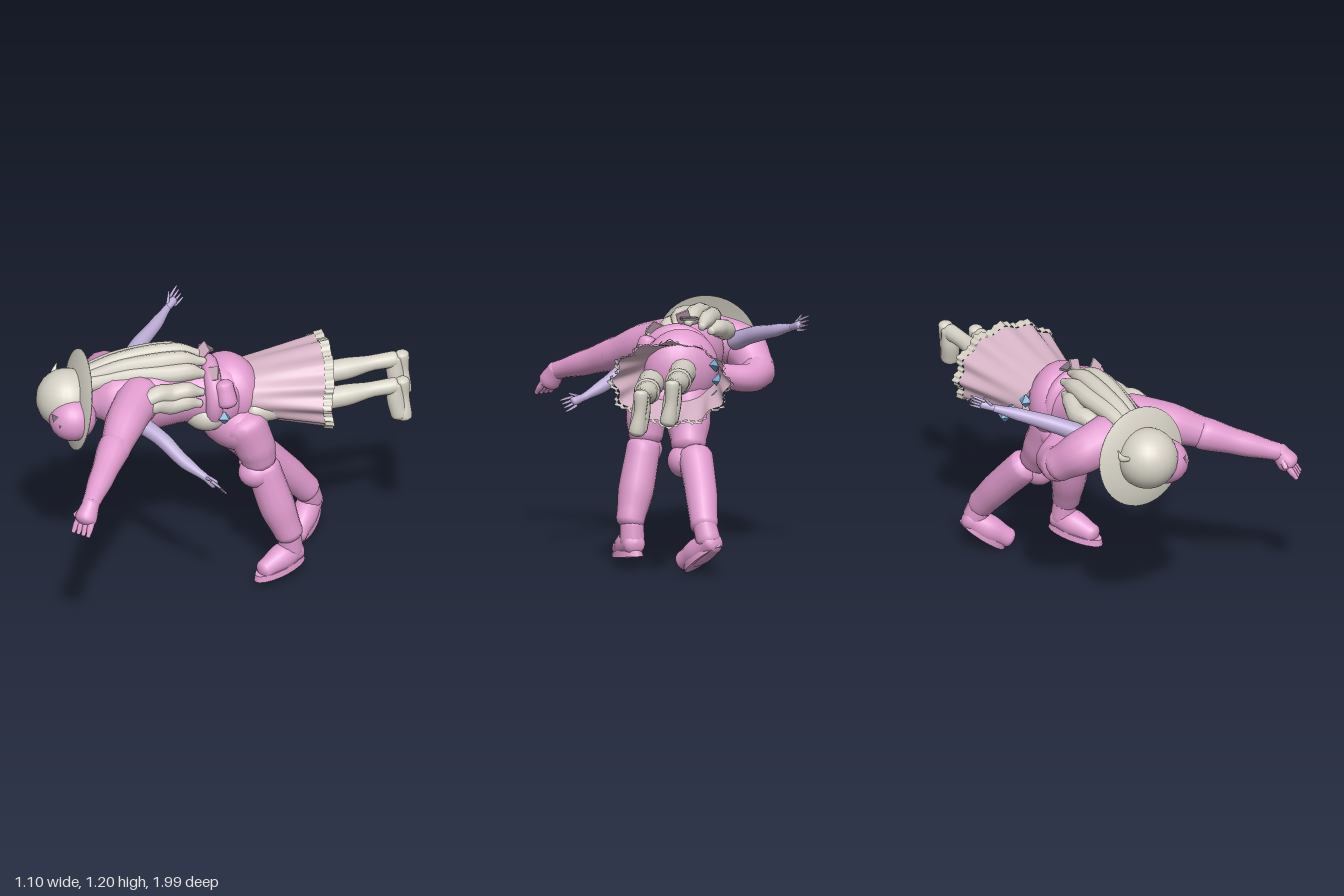
import * as THREE from 'three';

const mat = (name, color, side = THREE.FrontSide) => {
  const m = new THREE.MeshStandardMaterial({ color, side });
  m.name = name;
  return m;
};

export function createModel() {
  const pink = mat('pink', 0xdf9bcd), cream = mat('cream', 0xd4d0c4, THREE.DoubleSide);
  const lavender = mat('lavender', 0xb8a8d2), rose = mat('rose', 0xd6b4c5, THREE.DoubleSide);
  const green = mat('green', 0x98d2ae, THREE.DoubleSide), blue = mat('blue', 0x6c9fc4);
  const grey = mat('grey', 0x7d747c, THREE.DoubleSide);
  const root = new THREE.Group();
  const V = (p) => new THREE.Vector3(p[0], p[1], p[2]);

  const add = (name, geo, material, pos = [0, 0, 0], parent = root) => {
    const m = new THREE.Mesh(geo, material);
    m.name = name;
    m.position.set(...pos);
    parent.add(m);
    return m;
  };
  const ball = (name, material, pos, s) => {
    const m = add(name, new THREE.SphereGeometry(1, 24, 16), material, pos);
    m.scale.set(...s);
    return m;
  };

  // Rounded limb through points [x, y, z, radius]
  const limb = (name, material, pts, sides = 14) => {
    const curve = new THREE.CatmullRomCurve3(pts.map(V), false, 'centripetal');
    const n = (pts.length - 1) * 5, seg = pts.length - 1;
    const fr = curve.computeFrenetFrames(n, false);
    const lens = [0];
    for (let i = 1; i < pts.length; i++) lens.push(lens[i - 1] + V(pts[i]).distanceTo(V(pts[i - 1])));
    const radius = (u) => {
      const d = u * lens[seg];
      let k = 0;
      while (k < seg - 1 && d > lens[k + 1]) k++;
      const f = THREE.MathUtils.smoothstep(d, lens[k], lens[k + 1]);
      return pts[k][3] + (pts[k + 1][3] - pts[k][3]) * f;
    };
    const rings = [];
    for (let k = 0; k < 4; k++) rings.push([0, Math.sin(k * Math.PI / 8), -Math.cos(k * Math.PI / 8)]);
    for (let i = 0; i <= n; i++) rings.push([i, 1, 0]);
    for (let k = 3; k >= 0; k--) rings.push([n, Math.sin(k * Math.PI / 8), Math.cos(k * Math.PI / 8)]);
    const pos = [], idx = [];
    rings.forEach(([i, s, off], row) => {
      const r = radius(i / n), c = curve.getPointAt(i / n).addScaledVector(fr.tangents[i], off * r * 0.6);
      for (let j = 0; j < sides; j++) {
        const a = j / sides * Math.PI * 2;
        const p = c.clone().addScaledVector(fr.normals[i], Math.cos(a) * r * s)
          .addScaledVector(fr.binormals[i], Math.sin(a) * r * s);
        pos.push(p.x, p.y, p.z);
        if (row < rings.length - 1) {
          const q = row * sides, j2 = (j + 1) % sides;
          idx.push(q + j, q + j2, q + sides + j, q + j2, q + sides + j2, q + sides + j);
        }
      }
    });
    const g = new THREE.BufferGeometry();
    g.setAttribute('position', new THREE.Float32BufferAttribute(pos, 3));
    g.setIndex(idx);
    g.computeVertexNormals();
    return add(name, g, material);
  };

  // Palm with four fingers and a thumb, reaching from wrist along dir
  const hand = (name, material, wrist, dir, across, len, r) => {
    const w = V(wrist), d = V(dir).normalize(), a = V(across).normalize();
    const at = (f, s) => w.clone().addScaledVector(d, f * len).addScaledVector(a, s * len).toArray();
    limb(name + 'Palm', material, [[...at(0, 0), r], [...at(0.5, 0), r * 1.25]]);
    for (let i = 0; i < 4; i++) {
      const s = (i - 1.5) * 0.14;
      limb(name + 'Finger', material, [[...at(0.45, s), r * 0.42], [...at(0.75, s * 1.2), r * 0.38], [...at(1, s * 1.3), r * 0.25]], 7);
    }
    limb(name + 'Thumb', material, [[...at(0.15, 0.1), r * 0.45], [...at(0.5, 0.4), r * 0.3]], 7);
  };

  // Bent torso, hips and belt
  limb('torso', pink, [[0.06, 0.93, -0.13, 0.17], [-0.02, 0.95, 0.02, 0.145], [-0.11, 0.96, 0.2, 0.17],
    [-0.18, 0.96, 0.34, 0.145], [-0.26, 0.94, 0.46, 0.07]], 24);
  ball('hips', pink, [0.05, 0.93, -0.16], [0.185, 0.19, 0.14]);
  const belt = add('belt', new THREE.TorusGeometry(0.14, 0.042, 12, 32), pink, [0.035, 0.95, -0.06]);
  belt.lookAt(-0.43, 0.95, 0.83);
  ball('seat', pink, [0.1, 0.79, -0.14], [0.21, 0.13, 0.13]);
  ball('bodice', cream, [0.06, 0.865, -0.01], [0.12, 0.085, 0.1]);
  limb('sidePouch', pink, [[0.175, 1.05, -0.04, 0.045], [0.2, 0.97, -0.04, 0.05]]);

  // Standing legs
  limb('leftThigh', pink, [[0.2, 0.82, -0.14, 0.11], [0.23, 0.7, -0.18, 0.1], [0.24, 0.62, -0.2, 0.085]]);
  ball('leftKnee', pink, [0.24, 0.555, -0.185], [0.085, 0.075, 0.09]);
  limb('leftShin', pink, [[0.255, 0.57, -0.215, 0.083], [0.305, 0.38, -0.255, 0.087], [0.35, 0.23, -0.295, 0.07]]);
  limb('leftAnkle', pink, [[0.345, 0.22, -0.3, 0.058], [0.345, 0.13, -0.31, 0.06]]);
  limb('leftShoe', pink, [[0.345, 0.125, -0.34, 0.055], [0.345, 0.11, -0.26, 0.066], [0.345, 0.075, -0.15, 0.048]]);
  const leftSole = add('leftSole', new THREE.CylinderGeometry(0.06, 0.064, 0.03, 20), pink, [0.345, 0.062, -0.24]);
  leftSole.rotation.x = 0.14;
  leftSole.scale.z = 2.3;
  limb('rightThigh', pink, [[0.02, 0.82, -0.16, 0.12], [0.035, 0.68, -0.23, 0.107], [0.055, 0.58, -0.29, 0.085]]);
  ball('rightKnee', pink, [0.085, 0.505, -0.3], [0.075, 0.08, 0.085]);
  limb('rightShin', pink, [[0.04, 0.53, -0.35, 0.083], [0.06, 0.38, -0.49, 0.078], [0.085, 0.24, -0.61, 0.068]]);
  limb('rightAnkle', pink, [[0.085, 0.25, -0.61, 0.058], [0.075, 0.17, -0.64, 0.06]]);
  limb('rightShoe', pink, [[0.06, 0.165, -0.66, 0.058], [0.1, 0.11, -0.58, 0.066], [0.15, 0.055, -0.5, 0.048]]);
  const rightSole = add('rightSole', new THREE.CylinderGeometry(0.06, 0.062, 0.03, 20), pink, [0.09, 0.085, -0.6]);
  rightSole.rotation.set(0.6, 0.5, 0, 'YXZ');
  rightSole.scale.z = 2.1;

  // Reaching left arm
  limb('leftUpperArm', pink, [[-0.06, 1.0, 0.28, 0.11], [0.02, 0.97, 0.42, 0.1], [0.14, 0.895, 0.6, 0.075]]);
  limb('leftForearm', pink, [[0.12, 0.905, 0.58, 0.08], [0.22, 0.845, 0.73, 0.062], [0.32, 0.79, 0.88, 0.044]]);
  hand('leftHand', pink, [0.325, 0.795, 0.88], [0.2, -0.7, 0.52], [-0.9, 0, 0.3], 0.155, 0.043);

  // Folded right arm
  limb('rightUpperArm', pink, [[-0.28, 0.99, 0.3, 0.12], [-0.39, 0.96, 0.24, 0.11], [-0.43, 0.86, 0.1, 0.085]]);
  limb('rightForearm', pink, [[-0.43, 0.86, 0.1, 0.085], [-0.36, 0.84, 0.02, 0.07], [-0.22, 0.86, -0.01, 0.06], [-0.1, 0.89, -0.02, 0.05]]);

  // Slim raised arms
  limb('rightSlimArm', lavender, [[-0.33, 1.0, 0.16, 0.045], [-0.38, 1.04, 0.06, 0.04], [-0.44, 1.08, -0.1, 0.032], [-0.49, 1.11, -0.21, 0.019]]);
  hand('rightSlimHand', lavender, [-0.49, 1.11, -0.21], [-0.35, 0.28, -0.9], [-0.3, 0.9, 0.3], 0.125, 0.017);
  limb('leftSlimArm', lavender, [[0.0, 0.92, 0.36, 0.045], [0.16, 0.87, 0.32, 0.038], [0.28, 0.8, 0.29, 0.033], [0.4, 0.75, 0.25, 0.019]]);
  hand('leftSlimHand', lavender, [0.4, 0.75, 0.25], [0.9, -0.27, -0.2], [0.2, 0.7, 0.6], 0.12, 0.018);

  // Hat, face and half collar
  const hat = new THREE.Group();
  hat.name = 'hat';
  hat.position.set(-0.305, 0.945, 0.495);
  hat.quaternion.setFromUnitVectors(new THREE.Vector3(0, 1, 0), V([-0.4, 0.16, 0.9]).normalize());
  root.add(hat);
  const brim = [[0.1, 0.016], [0.17, 0.01], [0.242, -0.014], [0.243, -0.02], [0.17, 0], [0.1, 0.004]];
  add('brim', new THREE.LatheGeometry(brim.map((p) => new THREE.Vector2(...p)), 48), cream, [0, 0, 0], hat);
  add('collar', new THREE.CylinderGeometry(0.185, 0.125, 0.08, 24, 1, true, -1.9, 2.8), green, [0, -0.055, 0], hat);
  ball('crown', cream, [-0.32, 0.955, 0.528], [0.147, 0.147, 0.147]);
  ball('face', pink, [-0.22, 0.905, 0.568], [0.112, 0.108, 0.114]);
  [[-0.22, 0.945, 0.678, 0.026], [-0.178, 0.918, 0.678, 0.012]].forEach(([x, y, z, r]) => {
    add('eye', new THREE.CircleGeometry(r, 3), grey, [x, y, z]).rotation.set(-0.25, 0.2, 0.5);
  });
  limb('hatRibbon', cream, [[-0.45, 1.0, 0.5, 0.012], [-0.48, 1.01, 0.48, 0.016], [-0.485, 1.05, 0.46, 0.004]], 6);

  // Long hair locks over the back, then shorter ones at each side: start, middle, end
  [[-0.32, 1.06, 0.44, -0.2, 1.12, 0.14, -0.09, 1.11, -0.06], [-0.29, 1.07, 0.44, -0.14, 1.145, 0.15, -0.02, 1.13, -0.06],
    [-0.26, 1.06, 0.45, -0.07, 1.135, 0.16, 0.03, 1.12, -0.03], [-0.23, 1.05, 0.45, 0.0, 1.095, 0.13, 0.07, 1.08, 0],
    [-0.29, 1.03, 0.24, -0.27, 1.06, 0.12, -0.15, 1.08, -0.02],
    [0.03, 1.03, 0.31, 0.055, 1.03, 0.19, 0.12, 1.02, 0.05], [0.03, 0.985, 0.32, 0.065, 0.98, 0.2, 0.13, 0.97, 0.07]].forEach((l) => {
    const a = V(l.slice(0, 3)), b = V(l.slice(3, 6)), c = V(l.slice(6));
    const ab = a.clone().lerp(b, 0.5), bc = b.clone().lerp(c, 0.5);
    ab.y += 0.015;
    bc.y += 0.012;
    limb('hairLock', cream, [[...a, 0.04], [...ab, 0.045], [...b, 0.048], [...bc, 0.044], [...c, 0.02]], 10);
  });

  // Pleated skirt with frilled hem; local y runs towards the hem, local z is up
  const skirt = new THREE.Group();
  skirt.name = 'skirt';
  skirt.setRotationFromMatrix(new THREE.Matrix4().makeBasis(V([0.888, 0, 0.459]), V([0.459, 0, -0.888]), V([0, 1, 0])));
  skirt.position.set(0.05, 0.925, -0.2);
  root.add(skirt);
  const len = 0.4;
  const cloth = (name, material, y0, y1, r0, r1, wave) => {
    const g = new THREE.CylinderGeometry(r1, r0, y1 - y0, 192, 6, true).translate(0, (y0 + y1) / 2, 0);
    const p = g.attributes.position;
    for (let i = 0; i < p.count; i++) {
      const a = Math.atan2(p.getZ(i), p.getX(i)), t = p.getY(i) / len;
      const k = 1 + 0.05 * t * Math.cos(a * 12) + wave * Math.cos(a * 48);
      p.setXYZ(i, p.getX(i) * k, p.getY(i) + 0.04 * t * Math.abs(Math.sin(a)), p.getZ(i) * k * 0.71);
    }
    g.computeVertexNormals();
    add(name, g, material, [0, 0, 0], skirt);
  };
  cloth('skirtCloth', rose, 0, len - 0.02, 0.17, 0.272, 0);
  cloth('hemFrill', cream, len - 0.026, len + 0.016, 0.278, 0.286, 0.022);

  // Booted legs trailing from the skirt
  [[0, 0, 0], [0.125, -0.055, 0.095]].forEach(([x, y, z]) => {
    const at = (a, b, c, r) => [a + x, b + y, c + z, r];
    limb('bootLeg', cream, [at(0.08, 0.93, -0.28, 0.065), at(0.19, 0.935, -0.55, 0.055), at(0.25, 0.94, -0.7, 0.054), at(0.31, 0.955, -0.84, 0.038), at(0.35, 0.96, -0.93, 0.04)]);
    limb('kneeBand', cream, [at(0.19, 0.935, -0.56, 0.058), at(0.215, 0.936, -0.61, 0.064)]);
    limb('bootFoot', cream, [at(0.35, 0.965, -0.935, 0.04), at(0.355, 0.89, -0.935, 0.045), at(0.372, 0.81, -0.945, 0.044)]);
    limb('bootSole', cream, [at(0.365, 0.98, -0.965, 0.036), at(0.37, 0.9, -0.968, 0.03), at(0.385, 0.8, -0.96, 0.04)]);
  });

  // Waist bow, sash and jewel chain
  [[0.13, 1.105, -0.01, 0.5], [0, 1.16, -0.05, -0.4]].forEach(([x, y, z, r]) => {
    add('bowLoop', new THREE.BoxGeometry(0.065, 0.065, 0.008), rose, [x, y, z]).rotation.set(-0.5, 0, r);
  });
  add('bowKnot', new THREE.BoxGeometry(0.08, 0.012, 0.04), grey, [-0.02, 1.155, -0.08]);
  limb('sash', blue, [[0.23, 0.8, -0.24, 0.014], [0.14, 0.77, -0.28, 0.014], [0.03, 0.775, -0.33, 0.014]], 8);
  [[0.19, 0.885, -0.03], [-0.09, 0.955, -0.27], [-0.08, 0.89, -0.34], [-0.045, 0.82, -0.41]].forEach((q) => {
    add('jewel', new THREE.OctahedronGeometry(0.036), blue, q);
  });
  return root;
}
